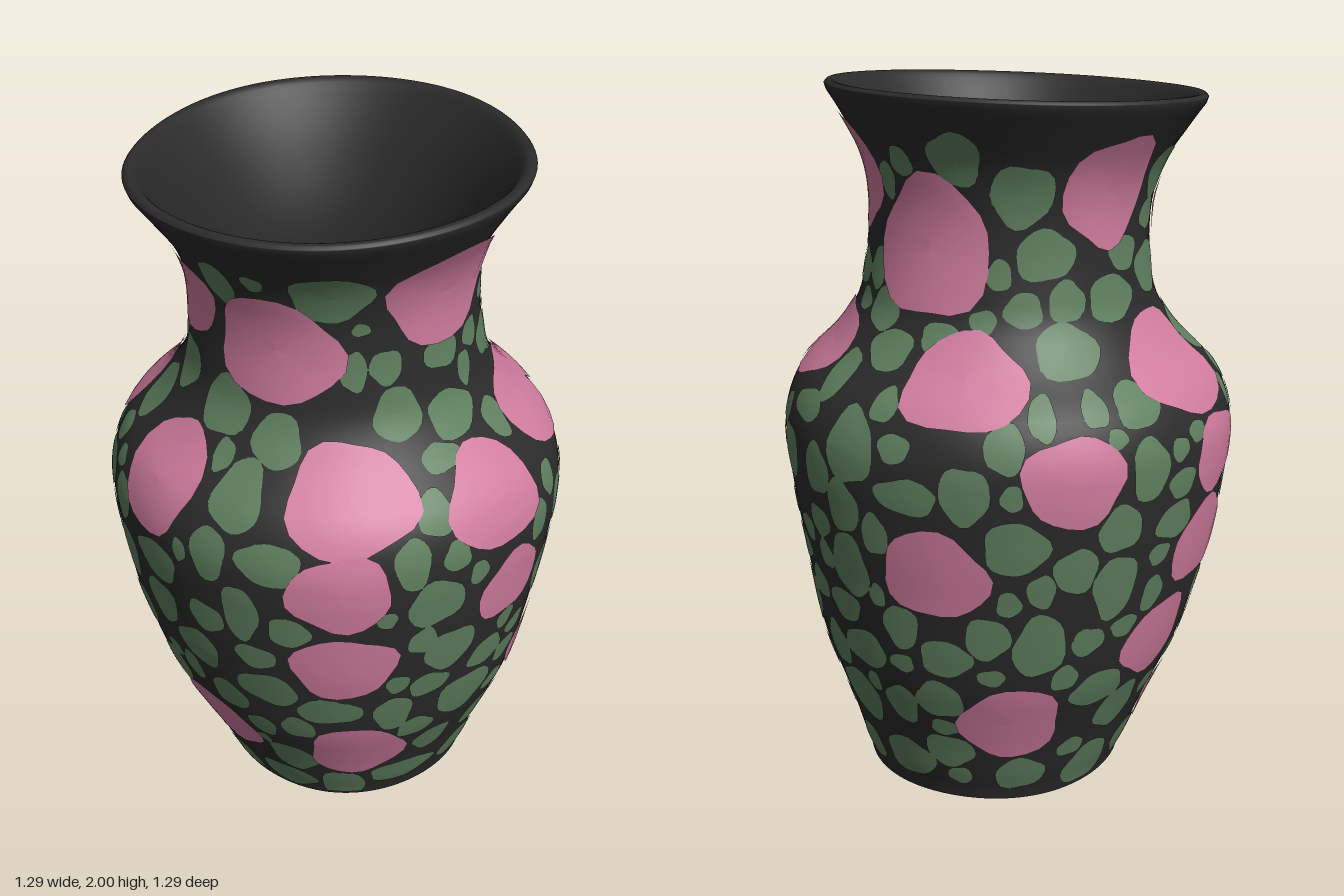
import * as THREE from 'three';

const black = new THREE.MeshStandardMaterial({ color: 0x2b2b2b });
black.name = 'black glaze';
const pink = new THREE.MeshStandardMaterial({ color: 0xd07c9e });
pink.name = 'pink blossom';
const green = new THREE.MeshStandardMaterial({ color: 0x5f7f5f });
green.name = 'green leaf';

const TOP = 1.976;
const rad = THREE.MathUtils.degToRad;

// Outer radius for every 0.1 of height
const RADII = [0.38, 0.415, 0.45, 0.49, 0.53, 0.558, 0.58, 0.6, 0.617, 0.63, 0.64,
  0.635, 0.59, 0.49, 0.423, 0.4, 0.39, 0.395, 0.425, 0.485, 0.545];

function radiusAt(y) {
  const t = THREE.MathUtils.clamp(y * 10, 0, 19.999);
  const i = Math.floor(t), f = t - i;
  const p = (k) => RADII[THREE.MathUtils.clamp(k, 0, 20)];
  const m0 = (p(i + 1) - p(i - 1)) / 2, m1 = (p(i + 2) - p(i)) / 2;
  const f2 = f * f, f3 = f2 * f;
  return (2 * f3 - 3 * f2 + 1) * p(i) + (f3 - 2 * f2 + f) * m0 + (3 * f2 - 2 * f3) * p(i + 1) + (f3 - f2) * m1;
}

// Hand-thrown unevenness: offset foot, leaning and slightly wavy rim
function deform(v) {
  const upper = THREE.MathUtils.smoothstep(v.y, 1.4, TOP);
  const angle = Math.atan2(v.x, v.z);
  const wave = 1 + 0.012 * upper * Math.sin(3 * angle + 1) + 0.005 * Math.sin(5 * angle);
  const shift = 0.05 * Math.max(0, 1 - v.y / 0.7) - 0.025 * upper;
  v.y += 0.046 * v.x * upper;
  v.x = v.x * wave + shift;
  v.z *= wave;
  return v;
}

function surface(theta, y, target = new THREE.Vector3()) {
  const r = radiusAt(y);
  return deform(target.set(r * Math.sin(theta), y, r * Math.cos(theta)));
}

function lathe(name, points, parent) {
  const geo = new THREE.LatheGeometry(points, 96);
  const pos = geo.attributes.position, v = new THREE.Vector3();
  for (let i = 0; i < pos.count; i++) {
    deform(v.fromBufferAttribute(pos, i));
    pos.setXYZ(i, v.x, v.y, v.z);
  }
  const mesh = new THREE.Mesh(geo, black);
  mesh.name = name;
  parent.add(mesh);
}

// Thin rounded patch that follows the outer wall
function patch({ theta, y, w, h }, lift, seed, material, name) {
  const RINGS = 4, SIDES = 22;
  const verts = [], index = [];
  const p = new THREE.Vector3(), a = new THREE.Vector3(), b = new THREE.Vector3(), n = new THREE.Vector3();
  const r = radiusAt(y);
  for (let k = 0; k <= RINGS; k++) {
    for (let s = 0; s < SIDES; s++) {
      const ang = (s / SIDES) * Math.PI * 2;
      const wob = 1 + 0.07 * Math.sin(3 * ang + seed * 1.7) + 0.04 * Math.sin(5 * ang + seed * 2.9);
      const q = (k / RINGS) * wob;
      const th = theta + (w * q * Math.cos(ang)) / r;
      const yy = THREE.MathUtils.clamp(y + h * q * Math.sin(ang), 0.015, 1.9);
      surface(th, yy, p);
      a.copy(surface(th + 0.01, yy, a)).sub(p);
      b.copy(surface(th, yy + 0.01, b)).sub(p);
      n.crossVectors(a, b).normalize();
      p.addScaledVector(n, lift);
      verts.push(p.x, p.y, p.z);
      if (k === 0) continue;
      const s2 = (s + 1) % SIDES, i0 = (k - 1) * SIDES, i1 = k * SIDES;
      index.push(i0 + s, i1 + s, i1 + s2);
      if (k > 1) index.push(i0 + s, i1 + s2, i0 + s2);
    }
  }
  const geo = new THREE.BufferGeometry();
  geo.setAttribute('position', new THREE.Float32BufferAttribute(verts, 3));
  geo.setIndex(index);
  geo.computeVertexNormals();
  const mesh = new THREE.Mesh(geo, material);
  mesh.name = name;
  return mesh;
}

// Blossoms: angle in degrees around from the front, height, half width, half height
const BLOSSOMS = [
  [-3, 1.73, 0.18, 0.15], [68, 1.75, 0.13, 0.15], [112, 1.59, 0.17, 0.18], [182, 1.74, 0.14, 0.15],
  [242, 1.67, 0.15, 0.13], [290, 1.6, 0.17, 0.16], [-3, 1.18, 0.16, 0.125], [37, 1.28, 0.17, 0.12],
  [66, 1.3, 0.15, 0.1], [131, 1.28, 0.16, 0.11], [203, 1.27, 0.18, 0.13], [259, 1.2, 0.14, 0.14],
  [-44, 1.25, 0.17, 0.12], [1, 0.9, 0.125, 0.115], [-47, 1.02, 0.14, 0.12], [-46, 0.75, 0.145, 0.125],
  [-43, 0.31, 0.14, 0.15], [29, 0.54, 0.17, 0.145], [54, 0.8, 0.15, 0.135], [55, 0.19, 0.14, 0.16],
  [125, 0.78, 0.15, 0.13], [147, 0.3, 0.14, 0.13], [159, 1.05, 0.14, 0.12], [209, 1.02, 0.15, 0.11],
  [205, 0.77, 0.16, 0.12], [192, 0.51, 0.13, 0.12], [226, 0.25, 0.18, 0.13], [268, 0.33, 0.13, 0.14],
];

// Leaves on the front: offset across, height, half width, half height
const FRONT_LEAVES = [
  [-0.31, 1.78, 0.07, 0.08], [-0.24, 1.67, 0.02, 0.02], [-0.03, 1.55, 0.06, 0.05], [-0.19, 1.55, 0.04, 0.05],
  [-0.03, 1.38, 0.08, 0.06], [-0.18, 1.42, 0.06, 0.07], [0.18, 1.5, 0.05, 0.06], [0.05, 1.47, 0.03, 0.05],
  [-0.12, 1.3, 0.06, 0.03], [-0.22, 1.2, 0.05, 0.05], [-0.57, 1.1, 0.05, 0.06], [-0.6, 0.92, 0.03, 0.1],
  [-0.25, 0.95, 0.08, 0.08], [-0.27, 0.82, 0.04, 0.05], [0.2, 1.13, 0.04, 0.05], [0.27, 1.03, 0.05, 0.07],
  [0.37, 1.05, 0.05, 0.06], [0.27, 0.82, 0.11, 0.12], [-0.18, 0.75, 0.08, 0.08], [-0.22, 0.62, 0.06, 0.05],
  [-0.03, 0.65, 0.07, 0.06], [0.1, 0.68, 0.05, 0.04], [-0.08, 0.5, 0.1, 0.09], [-0.44, 0.55, 0.06, 0.06],
  [0.08, 0.3, 0.09, 0.09], [-0.13, 0.29, 0.06, 0.07], [-0.17, 0.12, 0.1, 0.06], [0.05, 0.12, 0.09, 0.07],
  [0.23, 0.08, 0.07, 0.05], [0.3, 0.33, 0.05, 0.07],
];

// Leaves on the right
const SIDE_LEAVES = [
  [-0.28, 1.72, 0.07, 0.1], [0.08, 1.8, 0.04, 0.04], [0.24, 1.82, 0.06, 0.07], [-0.29, 1.48, 0.09, 0.07],
  [-0.14, 1.5, 0.05, 0.05], [0.02, 1.42, 0.06, 0.06], [0.1, 1.33, 0.07, 0.05], [0.22, 1.37, 0.05, 0.04],
  [0.14, 1.1, 0.08, 0.1], [-0.08, 1.16, 0.08, 0.04], [-0.17, 1.01, 0.07, 0.08], [-0.28, 1.03, 0.05, 0.04],
  [-0.4, 1.1, 0.06, 0.05], [0.31, 1, 0.08, 0.05], [0.44, 1.02, 0.05, 0.08], [0.11, 0.93, 0.06, 0.08],
  [0.1, 0.75, 0.07, 0.1], [-0.1, 0.8, 0.05, 0.04], [-0.2, 0.55, 0.08, 0.09], [-0.09, 0.63, 0.06, 0.05],
  [0.1, 0.49, 0.08, 0.06], [0.24, 0.6, 0.05, 0.07], [0.34, 0.52, 0.06, 0.06], [0.51, 0.57, 0.04, 0.1],
  [0.01, 0.3, 0.09, 0.09], [-0.15, 0.38, 0.05, 0.05], [0.13, 0.12, 0.08, 0.07], [-0.04, 0.1, 0.06, 0.06],
  [0.18, 0.33, 0.05, 0.07], [0.26, 0.18, 0.06, 0.06], [0.37, 0.1, 0.04, 0.06], [-0.36, 0.38, 0.05, 0.05],
];

function placeLeaf(facing, [across, y, w, h]) {
  const off = Math.asin(THREE.MathUtils.clamp(across / radiusAt(y), -0.95, 0.95));
  return { theta: rad(facing) + off, y, w: w / Math.max(0.55, Math.cos(off)), h };
}

// Gap between two patches relative to their sizes (1 = just touching)
function gap(a, b) {
  let d = (a.theta - b.theta) % (Math.PI * 2);
  if (d > Math.PI) d -= Math.PI * 2;
  if (d < -Math.PI) d += Math.PI * 2;
  return Math.hypot((d * radiusAt((a.y + b.y) / 2)) / (a.w + b.w), (a.y - b.y) / (a.h + b.h));
}

export function createModel() {
  const model = new THREE.Group();
  model.name = 'vase';

  // Wall: outside upward, over the lip, then down the inside
  const outer = [];
  for (let i = 0; i <= 78; i++) outer.push(new THREE.Vector2(radiusAt(i * 0.025), i * 0.025));
  const V = (x, y) => new THREE.Vector2(x, y);
  const inner = new THREE.SplineCurve([
    V(0.524, 1.966), V(0.51, TOP), V(0.48, 1.955), V(0.41, 1.83), V(0.35, 1.66), V(0.33, 1.5), V(0.36, 1.38),
    V(0.43, 1.27), V(0.53, 1.14), V(0.575, 1), V(0.55, 0.75), V(0.47, 0.4), V(0.38, 0.18), V(0.25, 0.12), V(0, 0.11),
  ]).getPoints(70);
  lathe('vaseWall', [...outer, ...inner], model);
  lathe('foot', [V(0, 0), V(0.38, 0)], model);

  // Blossoms
  const blossoms = new THREE.Group();
  blossoms.name = 'blossoms';
  const flowers = BLOSSOMS.map(([deg, y, w, h]) => ({ theta: rad(deg), y, w, h }));
  flowers.forEach((f, i) => blossoms.add(patch(f, 0.006, i, pink, 'blossom')));

  // Leaves: the placed ones, then a seeded scatter that fills the rest
  const leaves = [...FRONT_LEAVES.map((l) => placeLeaf(0, l)), ...SIDE_LEAVES.map((l) => placeLeaf(90, l))];
  let state = 7;
  const rand = () => (state = (state * 16807) % 2147483647) / 2147483647;
  for (let tries = 0; tries < 6000 && leaves.length < 250; tries++) {
    const size = 0.085 - 0.045 * (tries / 6000) - 0.015 * rand();
    const stretch = 0.8 + 0.4 * rand();
    const leaf = { theta: rand() * Math.PI * 2, y: 0.06 + rand() * 1.78, w: size * stretch, h: size / stretch };
    if (leaf.y > 1.5 && leaf.y + leaf.h > 1.87) continue;
    if (leaves.every((o) => gap(leaf, o) > 0.98) && flowers.every((o) => gap(leaf, o) > 0.95)) leaves.push(leaf);
  }
  const foliage = new THREE.Group();
  foliage.name = 'leaves';
  leaves.forEach((l, i) => foliage.add(patch(l, 0.003, i + 0.5, green, 'leaf')));

  model.add(blossoms, foliage);
  return model;
}
